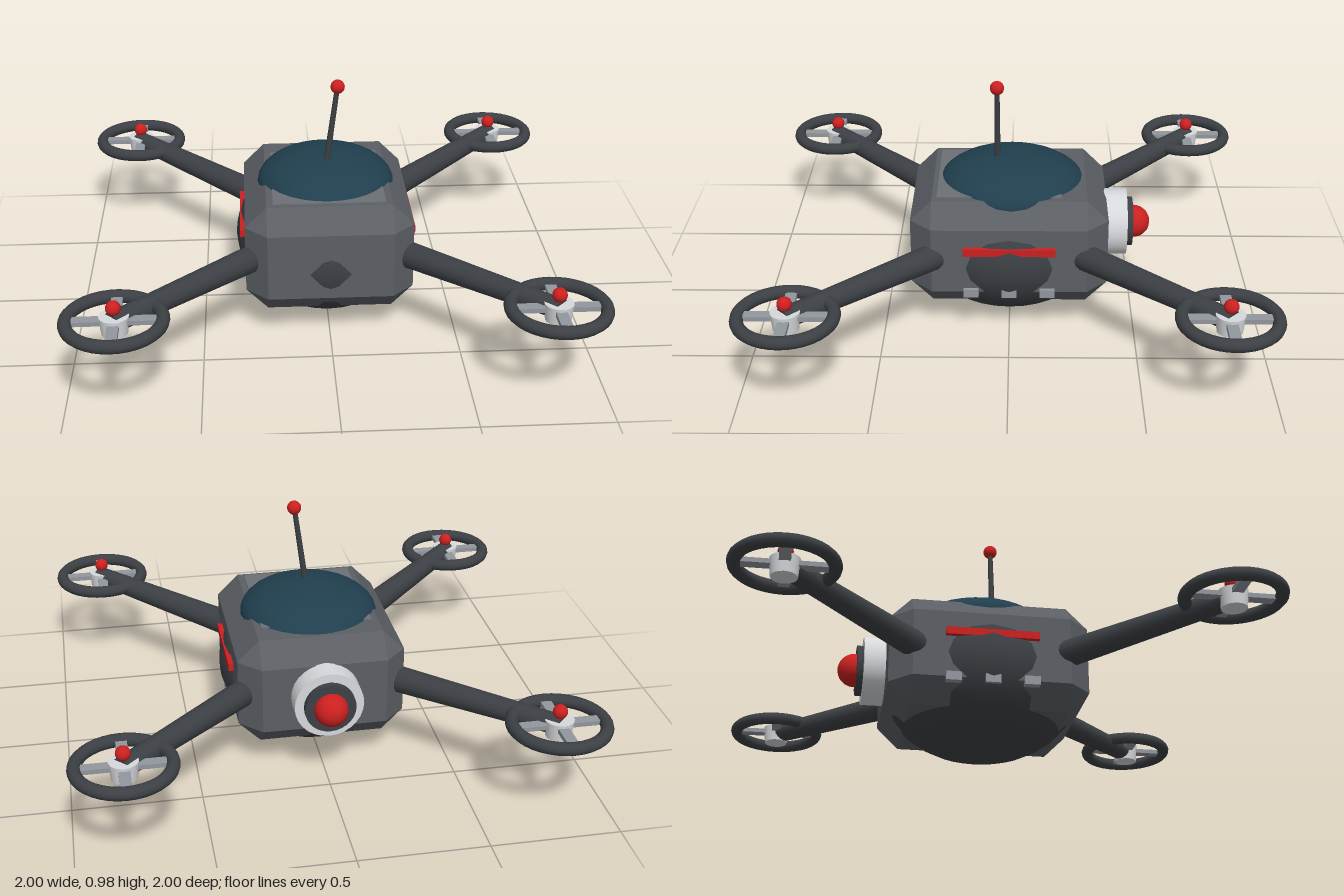
import * as THREE from 'three';
import { ConvexGeometry } from 'three/addons/geometries/ConvexGeometry.js';

export function createModel() {
  const model = new THREE.Group();
  model.name = 'drone';

  const material = (name, color, flatShading = false) => {
    const m = new THREE.MeshStandardMaterial({ color, flatShading });
    m.name = name;
    return m;
  };
  const bodyGrey = material('bodyGrey', 0x5b5f64, true);
  const darkGrey = material('darkGrey', 0x3c4044);
  const glass = material('darkTealGlass', 0x203f4e);
  const red = material('red', 0xcc2020);
  const white = material('lightGrey', 0xd6d9dc);
  const silver = material('silver', 0x92979e);
  const panel = material('panelGrey', 0x6c7075);

  const add = (name, geometry, mat, x = 0, y = 0, z = 0, parent = model) => {
    const mesh = new THREE.Mesh(geometry, mat);
    mesh.name = name;
    mesh.position.set(x, y, z);
    parent.add(mesh);
    return mesh;
  };
  const ball = (r, w = 20, h = 14) => new THREE.SphereGeometry(r, w, h);

  // Tapered rod between two points
  const rod = (name, from, to, r0, r1, mat, sides = 16, parent = model) => {
    const a = new THREE.Vector3(...from), b = new THREE.Vector3(...to);
    const dir = b.clone().sub(a);
    const mid = a.clone().add(b).multiplyScalar(0.5);
    const mesh = add(name, new THREE.CylinderGeometry(r1, r0, dir.length(), sides), mat, mid.x, mid.y, mid.z, parent);
    mesh.quaternion.setFromUnitVectors(new THREE.Vector3(0, 1, 0), dir.normalize());
  };

  // Box with every edge and corner cut off
  const chamferBox = (hx, hy, hz, c) => {
    const points = [];
    for (const x of [-1, 1]) for (const y of [-1, 1]) for (const z of [-1, 1]) {
      points.push(
        new THREE.Vector3(x * hx, y * (hy - c), z * (hz - c)),
        new THREE.Vector3(x * (hx - c), y * hy, z * (hz - c)),
        new THREE.Vector3(x * (hx - c), y * (hy - c), z * hz));
    }
    return new ConvexGeometry(points);
  };

  // Hull: a chamfered block with a dark core bulging through its faces
  add('hull', chamferBox(0.33, 0.221, 0.39, 0.085), bodyGrey, 0, 0.333, 0);
  add('core', ball(1, 28, 18).scale(0.365, 0.3, 0.4), darkGrey, 0, 0.3, 0);
  add('topPanel', new THREE.BoxGeometry(0.44, 0.008, 0.49), panel, 0, 0.555, 0.04);
  add('canopy', ball(1, 32, 20).scale(0.275, 0.12, 0.293), glass, 0, 0.523, -0.008);

  // Side light bars and vents
  for (const s of [-1, 1]) {
    add('sideLight', new THREE.BoxGeometry(0.03, 0.03, 0.36), red, s * 0.335, 0.38, 0);
    for (const z of [-0.15, 0, 0.15]) {
      add('sideVent', new THREE.BoxGeometry(0.03, 0.035, 0.06), silver, s * 0.33, 0.195, z);
    }
  }

  // Antenna
  rod('antenna', [-0.005, 0.58, 0.05], [0.045, 0.95, 0.05], 0.013, 0.01, darkGrey, 10);
  add('antennaTip', ball(0.028), red, 0.045, 0.947, 0.05);

  // Rear sensor, facing -z
  const sensor = new THREE.Group();
  sensor.name = 'rearSensor';
  sensor.position.set(0, 0.342, 0);
  model.add(sensor);
  const disc = (r, depth) => new THREE.CylinderGeometry(r, r, depth, 28).rotateX(Math.PI / 2);
  add('sensorHousing', disc(0.135, 0.12), white, 0, 0, -0.415, sensor);
  add('sensorRing', disc(0.1, 0.06), darkGrey, 0, 0, -0.47, sensor);
  add('sensorLens', ball(0.066), red, 0, 0, -0.507, sensor);

  // Four arms, each carrying a ducted rotor
  for (const sx of [-1, 1]) for (const sz of [-1, 1]) {
    rod('arm', [sx * 0.2, 0.33, sz * 0.2], [sx * 0.81, 0.365, sz * 0.81], 0.056, 0.04, darkGrey);
    const rotor = new THREE.Group();
    rotor.name = 'rotor';
    rotor.position.set(sx * 0.8, 0.369, sz * 0.8);
    model.add(rotor);
    add('rotorRing', new THREE.TorusGeometry(0.175, 0.025, 12, 36).rotateX(Math.PI / 2), darkGrey, 0, 0, 0, rotor);
    add('spokeAcross', new THREE.BoxGeometry(0.34, 0.018, 0.042), silver, 0, 0, 0, rotor);
    add('spokeAlong', new THREE.BoxGeometry(0.042, 0.018, 0.34), silver, 0, 0, 0, rotor);
    add('hub', new THREE.CylinderGeometry(0.055, 0.048, 0.07, 20), white, 0, -0.014, 0, rotor);
    add('beacon', ball(0.028), red, 0, 0.052, 0, rotor);
  }

  return model;
}
